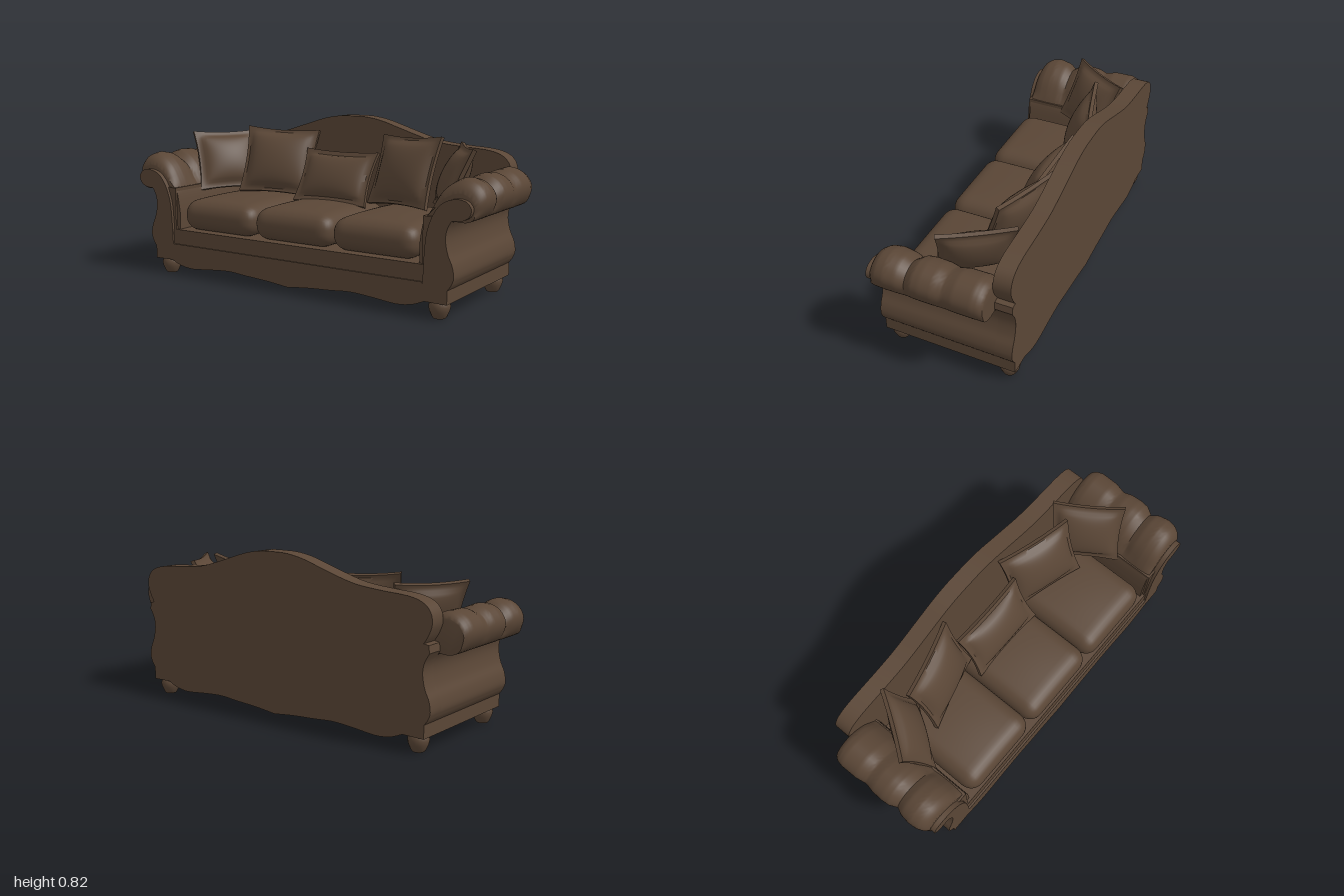
import * as THREE from 'three';
import { mergeVertices, toCreasedNormals } from 'three/addons/utils/BufferGeometryUtils.js';

const brown = new THREE.MeshStandardMaterial({ color: 0x5a4636 });
brown.name = 'brown upholstery';

const clamp = THREE.MathUtils.clamp;

// Smooth run of points through a few control points
function smooth(points, n = 24) {
  return new THREE.SplineCurve(points.map(p => new THREE.Vector2(...p))).getPoints(n);
}

// Linear lookup in a list of [position, value]
function lookup(table, t) {
  for (let i = 1; i < table.length; i++) {
    const [a, va] = table[i - 1], [b, vb] = table[i];
    if (t <= b) return va + (vb - va) * clamp((t - a) / (b - a), 0, 1);
  }
  return table[table.length - 1][1];
}

// Outline extruded from z0 to z1; side = -1 mirrors it
function slab(points, z0, z1, side = 1, steps = 1) {
  const shape = new THREE.Shape(points.map(p => new THREE.Vector2(p.x * side, p.y)));
  const g = new THREE.ExtrudeGeometry(shape, { depth: z1 - z0, steps, bevelEnabled: false });
  return g.translate(0, 0, z0);
}

const V = (x, y) => new THREE.Vector2(x, y);
const mirrored = half => [...half, ...half.map(p => V(-p.x, p.y)).reverse()];

// Wavy lower edge, from the middle to the right foot
const scallop = smooth([[0, 0.035], [0.12, 0.048], [0.25, 0.056], [0.36, 0.064],
  [0.48, 0.056], [0.6, 0.045], [0.68, 0.055], [0.74, 0.078]]);
// Outer side of the body, bottom to top
const flank = [V(0.85, 0.076), ...smooth([[0.85, 0.14], [0.868, 0.165], [0.88, 0.2],
  [0.872, 0.25], [0.85, 0.3], [0.838, 0.36], [0.845, 0.41], [0.87, 0.455]])];

// Soft seat cushion: rounded block with a crowned top
function cushionGeometry(w, h, d, r) {
  let g = new THREE.BoxGeometry(w, h, d, 24, 12, 24);
  g.deleteAttribute('normal');
  g.deleteAttribute('uv');
  g = mergeVertices(g);
  const pos = g.attributes.position, v = new THREE.Vector3(), c = new THREE.Vector3();
  const half = new THREE.Vector3(w / 2, h / 2, d / 2);
  const inner = half.clone().subScalar(r);
  for (let i = 0; i < pos.count; i++) {
    v.fromBufferAttribute(pos, i);
    c.copy(v).clamp(inner.clone().negate(), inner);
    v.sub(c).setLength(r).add(c);
    const u = v.x / half.x, k = v.z / half.z;
    if (v.y > 0) v.y += 0.018 * (1 - u * u) * (1 - k * k);
    pos.setXYZ(i, v.x, v.y, v.z);
  }
  g.computeVertexNormals();
  return g;
}

// Throw pillow: puffed middle, flat flange, pointed corners
function pillowGeometry(w, h, t) {
  const g = new THREE.BoxGeometry(w, h, 0.02, 24, 24, 1);
  const pos = g.attributes.position, flange = 0.026;
  for (let i = 0; i < pos.count; i++) {
    const x = pos.getX(i), y = pos.getY(i), z = pos.getZ(i);
    const u = clamp(x / (w / 2 - flange), -1, 1), v = clamp(y / (h / 2 - flange), -1, 1);
    const puff = Math.pow((1 - u * u) * (1 - v * v), 0.5);
    const a = 2 * x / w, b = 2 * y / h;
    pos.setXYZ(i, x * (1 - 0.07 * (1 - b * b)), y * (1 - 0.07 * (1 - a * a)),
      z + Math.sign(z) * puff * (t / 2 - 0.01));
  }
  g.computeVertexNormals();
  return g;
}

export function createModel() {
  const sofa = new THREE.Group();
  sofa.name = 'sofa';
  function add(name, geometry, crease) {
    const mesh = new THREE.Mesh(crease ? toCreasedNormals(geometry, crease) : geometry, brown);
    mesh.name = name;
    sofa.add(mesh);
    return mesh;
  }

  // Base with the wavy apron, and the seat deck on top
  add('apron', slab(mirrored([...scallop, V(0.85, 0.078), V(0.85, 0.16)]), -0.33, 0.335), 0.5);
  add('seatDeck', new THREE.BoxGeometry(1.5, 0.09, 0.575)).position.set(0, 0.195, 0.0375);
  add('railPiping', new THREE.BoxGeometry(1.46, 0.008, 0.008)).position.set(0, 0.16, 0.332);

  // Humped back: shoulders overhang the lower body
  const backTop = smooth([[0.84, 0.495], [0.862, 0.53], [0.88, 0.58], [0.872, 0.63], [0.835, 0.668],
    [0.76, 0.69], [0.62, 0.7], [0.5, 0.712], [0.41, 0.732], [0.27, 0.775],
    [0.17, 0.805], [0.08, 0.82], [0, 0.822]], 50);
  add('backPanel', slab(mirrored([...scallop, ...flank, V(0.865, 0.49), ...backTop]), -0.335, -0.25), 0.5);

  // Arms
  const rollProfile = [V(0.7, 0.2), ...smooth([[0.7, 0.33], [0.715, 0.42], [0.745, 0.5], [0.785, 0.565],
    [0.84, 0.608], [0.9, 0.625], [0.96, 0.605], [0.996, 0.56], [0.996, 0.51],
    [0.965, 0.46], [0.92, 0.44], [0.865, 0.442]], 44), V(0.82, 0.4), V(0.82, 0.2)];
  const frontProfile = [V(0.73, 0.078), ...flank.slice(0, -1), ...smooth([[0.87, 0.447], [0.91, 0.45],
    [0.945, 0.47], [0.955, 0.505], [0.93, 0.535], [0.88, 0.542], [0.82, 0.52],
    [0.775, 0.465], [0.745, 0.38], [0.735, 0.28]], 36), V(0.73, 0.16)];
  // Height of the padded roll along the arm, with two tufted pinches
  const rollTop = [[-0.25, 0.598], [-0.235, 0.615], [-0.2, 0.626], [-0.11, 0.624], [-0.055, 0.607],
    [-0.01, 0.622], [0.05, 0.626], [0.09, 0.62], [0.13, 0.59], [0.165, 0.615],
    [0.22, 0.626], [0.265, 0.618], [0.295, 0.595], [0.31, 0.565]];
  for (const side of [1, -1]) {
    const label = side > 0 ? 'left' : 'right';
    add(label + 'ArmBody', slab([V(0.72, 0.076), ...flank, V(0.72, 0.455)], -0.33, 0.32, side), 0.5);
    add(label + 'ArmFront', slab(frontProfile, 0.295, 0.335, side), 0.5);

    const roll = slab(rollProfile, -0.25, 0.31, side, 56);
    const pos = roll.attributes.position;
    for (let i = 0; i < pos.count; i++) {
      const x = pos.getX(i) * side, y = pos.getY(i);
      if (y < 0.45 && x < 0.87) continue;
      const k = (lookup(rollTop, pos.getZ(i)) - 0.45) / 0.175;
      const amount = clamp((y - 0.44) / 0.06, 0, 1);
      pos.setX(i, side * (0.87 + (x - 0.87) * (1 - (1 - k) * 0.9 * amount * (x > 0.87 ? 1 : 0.6))));
      if (y > 0.45) pos.setY(i, 0.45 + (y - 0.45) * k);
    }
    add(label + 'ArmRoll', roll, 0.8);
  }

  // Bun feet
  const footProfile = [[0, 0], [0.028, 0], [0.034, 0.008], [0.046, 0.035], [0.05, 0.055],
    [0.046, 0.07], [0.038, 0.085], [0, 0.085]].map(p => V(...p));
  const foot = new THREE.LatheGeometry(footProfile, 20);
  for (const x of [-0.79, 0.79]) {
    for (const z of [-0.28, 0.283]) add('foot', foot, 0.7).position.set(x, 0, z);
  }

  // Three seat cushions
  const cushion = cushionGeometry(0.452, 0.155, 0.56, 0.07);
  for (const x of [-0.455, 0, 0.455]) add('seatCushion', cushion).position.set(x, 0.317, 0.043);

  // Throw pillows, fanned around the seat
  function pillow(name, w, h, t, position, yaw, tilt, roll) {
    const mesh = add(name, pillowGeometry(w, h, t), 0.7);
    mesh.position.set(...position);
    mesh.rotation.set(tilt, yaw, roll, 'YXZ');
  }
  pillow('middlePillow', 0.43, 0.29, 0.11, [0, 0.52, -0.09], 0, -0.48, 0);
  for (const side of [1, -1]) {
    pillow('innerPillow', 0.4, 0.36, 0.13, [0.38 * side, 0.575, -0.125], -0.3 * side, -0.35, 0.04 * side);
    pillow('cornerPillow', 0.36, 0.33, 0.12, [0.675 * side, 0.57, -0.065], -0.98 * side, -0.42, 0);
  }
  return sofa;
}
